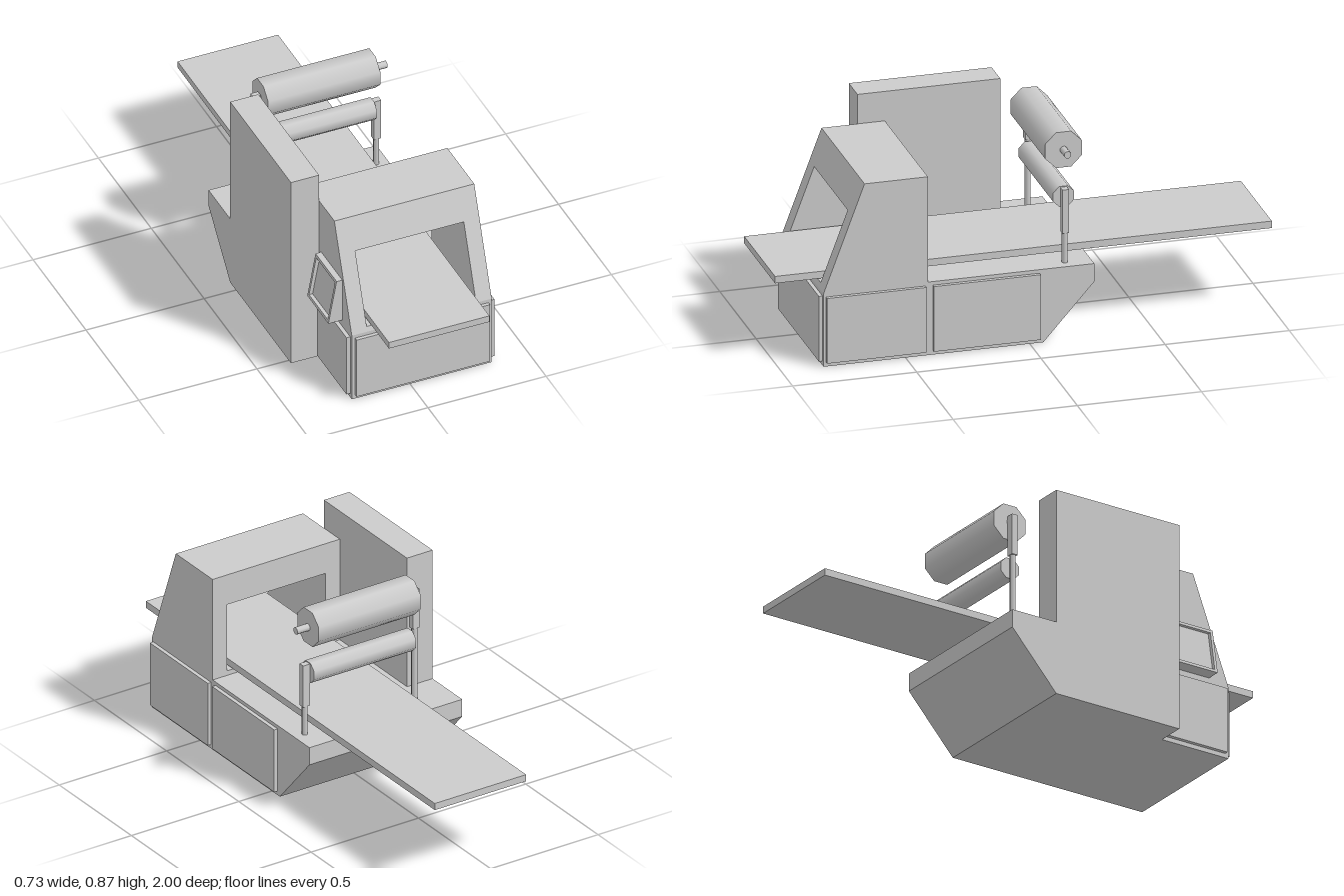
import * as THREE from 'three';

const grey = new THREE.MeshStandardMaterial({ color: 0xcccccc });
const XL = -0.246, XR = 0.346; // sides of the main body
const ROLL_Z = -0.155;

export function createModel() {
  const model = new THREE.Group();

  const add = (name, geometry, parent = model) => {
    const mesh = new THREE.Mesh(geometry, grey);
    mesh.name = name;
    parent.add(mesh);
    return mesh;
  };
  // box from its min and max along each axis
  const box = (name, x0, x1, y0, y1, z0, z1, parent) =>
    add(name, new THREE.BoxGeometry(x1 - x0, y1 - y0, z1 - z0)
      .translate((x0 + x1) / 2, (y0 + y1) / 2, (z0 + z1) / 2), parent);
  const extrude = (points, depth) => new THREE.ExtrudeGeometry(
    new THREE.Shape(points.map(([a, b]) => new THREE.Vector2(a, b))), { depth, bevelEnabled: false });
  // side profile of [z, y] points swept from x0 to x1
  const sideProfile = (name, points, x0, x1, parent) =>
    add(name, extrude(points, x1 - x0).rotateY(-Math.PI / 2).translate(x1, 0, 0), parent);
  // front profile of [x, y] points swept from z0 to z1
  const frontProfile = (name, points, z0, z1, parent) =>
    add(name, extrude(points, z1 - z0).translate(0, 0, z0), parent);
  const group = (name) => {
    const g = new THREE.Group();
    g.name = name;
    model.add(g);
    return g;
  };

  // base with a sloping tail that also runs behind the tower
  const base = group('base');
  sideProfile('baseBody', [[0.83, 0], [0.83, 0.305], [-0.26, 0.305], [-0.26, 0.23], [-0.055, 0]], XL, XR, base);
  sideProfile('baseTail', [[-0.055, 0], [-0.055, 0.305], [-0.26, 0.305], [-0.26, 0.23]], -0.365, XL, base);
  box('tower', -0.365, XL, 0, 0.868, -0.055, 0.52);

  // raised access panels
  const panels = group('accessPanels');
  box('frontPanel', -0.232, 0.332, 0.018, 0.29, 0.83, 0.845, panels);
  box('sidePanelFront', XR, 0.362, 0.018, 0.29, 0.42, 0.82, panels);
  box('sidePanelRear', XR, 0.362, 0.018, 0.29, -0.04, 0.39, panels);
  box('sidePanelOpposite', -0.262, XL, 0.018, 0.29, 0.535, 0.815, panels);

  // hood: sloped front, tunnel through the middle
  const hood = group('hood');
  const slopeZ = (y) => 0.83 - (0.165 * (y - 0.305)) / 0.44;
  const slab = (y0, y1) => [[0.41, y0], [slopeZ(y0), y0], [slopeZ(y1), y1], [0.41, y1]];
  sideProfile('hoodCheekRight', slab(0.305, 0.745), XL, -0.18, hood);
  sideProfile('hoodCheekLeft', slab(0.305, 0.745), 0.28, XR, hood);
  sideProfile('hoodTop', slab(0.615, 0.745), -0.18, 0.28, hood);
  sideProfile('hoodSill', slab(0.305, 0.325), -0.18, 0.28, hood);

  box('conveyor', -0.165, 0.26, 0.334, 0.363, -1, 1);

  // slanted control box with a recessed face
  const control = group('controlBox');
  const faceX = (y) => -0.305 + (0.035 * (y - 0.32)) / 0.192;
  const wedge = (y0, y1, inset = 0) => [[XL, y0], [XL, y1], [faceX(y1) + inset, y1], [faceX(y0) + inset, y0]];
  frontProfile('controlFace', wedge(0.332, 0.5, 0.015), 0.552, 0.728, control);
  frontProfile('controlEndRear', wedge(0.32, 0.512), 0.54, 0.552, control);
  frontProfile('controlEndFront', wedge(0.32, 0.512), 0.728, 0.74, control);
  frontProfile('controlRimLower', wedge(0.32, 0.332), 0.552, 0.728, control);
  frontProfile('controlRimUpper', wedge(0.5, 0.512), 0.552, 0.728, control);

  // film rollers on two posts, the far one taller
  const stand = group('rollerStand');
  const roller = (name, r, sides, y, x0, x1) => {
    const g = new THREE.CylinderGeometry(r, r, x1 - x0, sides);
    g.rotateY(Math.PI / sides).rotateZ(Math.PI / 2).translate((x0 + x1) / 2, y, ROLL_Z);
    // turn facets so a flat lies on top
    add(name, g, stand);
  };
  roller('largeRoller', 0.08, 8, 0.768, -0.193, 0.282);
  roller('largeRollerShaft', 0.015, 8, 0.768, -0.2, 0.34);
  roller('smallRoller', 0.046, 8, 0.573, -0.193, 0.282);
  for (const [side, x, split, top] of [['Right', -0.2125, 0.62, 0.79], ['Left', 0.2975, 0.43, 0.612]]) {
    box('postHead' + side, x - 0.0155, x + 0.0155, split, top, ROLL_Z - 0.013, ROLL_Z + 0.013, stand);
    add('postLeg' + side, new THREE.CylinderGeometry(0.012, 0.012, split - 0.3, 8)
      .translate(x, (split + 0.3) / 2, ROLL_Z), stand);
  }
  return model;
}
